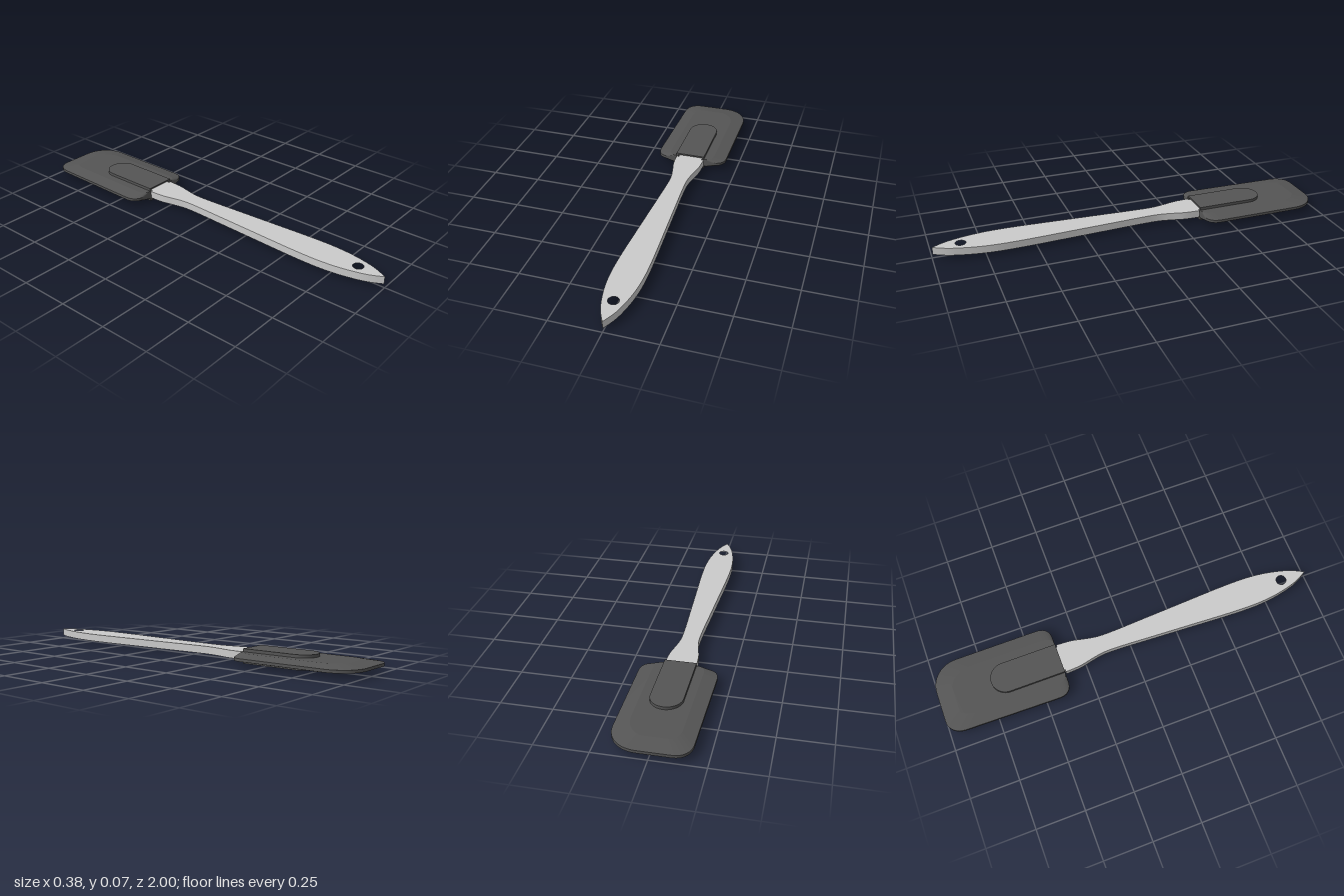
import * as THREE from 'three';
import { toCreasedNormals } from 'three/addons/utils/BufferGeometryUtils.js';

const MID = 0.036; // height of the middle plane
const FRONT = -0.365; // front edge of the blade
const grey = new THREE.MeshStandardMaterial({ color: 0xcccccc });
const dark = new THREE.MeshStandardMaterial({ color: 0x555555 });

// Extrudes a plan shape (x, z) between two heights
function slab(shape, y0, y1, options = {}) {
  const g = new THREE.ExtrudeGeometry(shape, { depth: y1 - y0, bevelEnabled: false, curveSegments: 14, ...options });
  g.rotateX(Math.PI / 2);
  g.translate(0, y1, 0);
  return g;
}

function addMesh(parent, name, geometry, material) {
  const mesh = new THREE.Mesh(toCreasedNormals(geometry, 0.15), material);
  mesh.name = name;
  parent.add(mesh);
}

// Closes the front edge of a plan shape, leaving a notch for the handle
function notch(s) {
  s.lineTo(-0.068, FRONT);
  s.lineTo(-0.068, -0.43);
  s.lineTo(0.066, -0.43);
  s.lineTo(0.066, FRONT);
}

function bladeGeometry() {
  const s = new THREE.Shape();
  s.moveTo(0.12, FRONT);
  s.quadraticCurveTo(0.188, FRONT, 0.188, -0.435);
  s.lineTo(0.188, -0.86);
  s.bezierCurveTo(0.188, -0.94, 0.13, -1, 0.05, -1);
  s.lineTo(-0.1, -1);
  s.bezierCurveTo(-0.15, -1, -0.18, -0.965, -0.18, -0.91);
  s.lineTo(-0.189, -0.435);
  s.quadraticCurveTo(-0.189, FRONT, -0.12, FRONT);
  notch(s);
  const g = slab(s, MID - 0.007, MID + 0.007, { bevelEnabled: true, bevelSegments: 1, bevelSize: 0, bevelThickness: 0.014 });
  // Draw the upper and lower outlines inward so the sides and tip taper
  const p = g.attributes.position;
  for (let i = 0; i < p.count; i++) {
    if (Math.abs(p.getY(i) - MID) < 0.015) continue;
    if (Math.abs(p.getX(i)) > 0.07) p.setX(i, p.getX(i) * 0.65);
    p.setZ(i, FRONT + (p.getZ(i) - FRONT) * 0.87);
  }
  return g;
}

// Round-ended sleeve that holds the handle
function sleeveShape(open) {
  const s = new THREE.Shape();
  s.moveTo(0.076, FRONT);
  s.lineTo(0.076, -0.651);
  s.absarc(-0.001, -0.651, 0.077, 0, Math.PI, true);
  s.lineTo(-0.078, FRONT);
  if (open) notch(s);
  return s;
}

function handleGeometry() {
  // Half widths along the grip, from the pointed end to the blade
  const profile = [
    [0, 0.995], [0.024, 0.95], [0.043, 0.9], [0.062, 0.82], [0.073, 0.74], [0.077, 0.65], [0.074, 0.52],
    [0.064, 0.32], [0.053, 0.1], [0.046, -0.04], [0.045, -0.14], [0.056, -0.21], [0.071, -0.28], [0.076, -0.36],
  ].map(([x, z]) => new THREE.Vector2(x, z));
  const side = new THREE.SplineCurve(profile).getPoints(60);
  const tongue = [new THREE.Vector2(0.064, -0.36), new THREE.Vector2(0.064, -0.6)];
  const half = [...side, ...tongue];
  const mirrored = half.slice(1).reverse().map((v) => new THREE.Vector2(-v.x, v.y));
  const s = new THREE.Shape([...half, ...mirrored]);
  const hole = new THREE.Path();
  hole.absarc(0, 0.86, 0.026, 0, Math.PI * 2, true);
  s.holes.push(hole);
  return slab(s, 0.018, 0.056);
}

export function createModel() {
  const model = new THREE.Group();
  model.name = 'spatula';
  addMesh(model, 'handle', handleGeometry(), grey);

  const head = new THREE.Group();
  head.name = 'head';
  addMesh(head, 'blade', bladeGeometry(), dark);
  addMesh(head, 'sleeveBottom', slab(sleeveShape(false), 0, 0.009), dark);
  addMesh(head, 'sleeveMiddle', slab(sleeveShape(true), 0.009, 0.064), dark);
  addMesh(head, 'sleeveTop', slab(sleeveShape(false), 0.064, 0.072), dark);
  model.add(head);
  return model;
}
